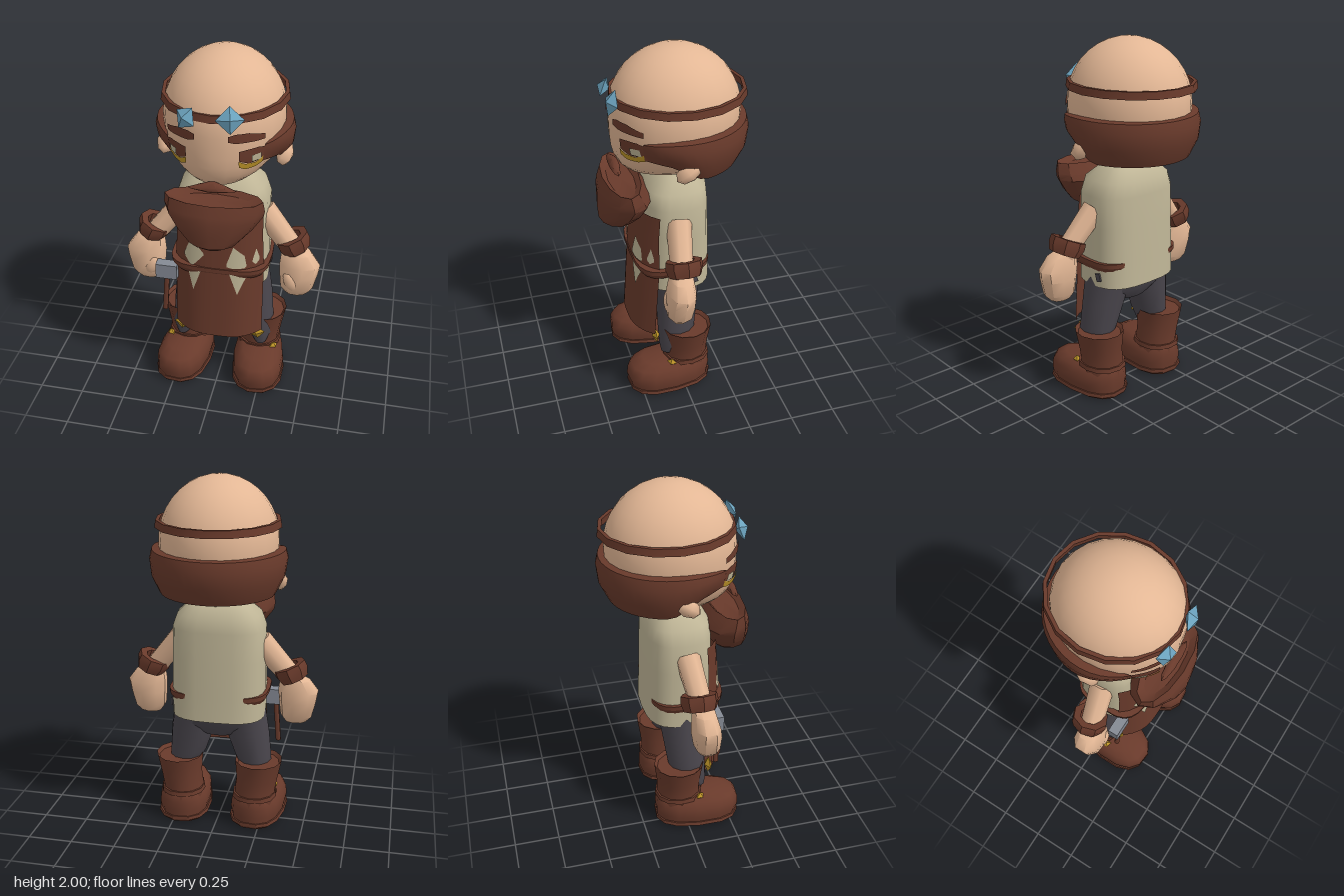
import * as THREE from 'three';
import { toCreasedNormals } from 'three/addons/utils/BufferGeometryUtils.js';

const mat = (name, color, side = THREE.FrontSide) => {
  const m = new THREE.MeshStandardMaterial({ color, side });
  m.name = name;
  return m;
};

// Geometry from a grid of points; wrap closes each row
function grid(rows, wrap = false, caps = false, crease = 0.8) {
  const n = rows[0].length, idx = [], pts = rows.flat();
  for (let i = 0; i < rows.length - 1; i++)
    for (let j = 0; j < (wrap ? n : n - 1); j++) {
      const a = i * n + j, b = i * n + (j + 1) % n;
      idx.push(a, a + n, b, b, a + n, b + n);
    }
  if (caps) {
    for (const r of [0, rows.length - 1]) {
      const c = pts.length, mid = [0, 0, 0];
      rows[r].forEach(p => p.forEach((v, k) => { mid[k] += v / n; }));
      pts.push(mid);
      for (let j = 0; j < n; j++) {
        const a = r * n + j, b = r * n + (j + 1) % n;
        if (r === 0) idx.push(c, a, b); else idx.push(c, b, a);
      }
    }
  }
  const g = new THREE.BufferGeometry();
  g.setAttribute('position', new THREE.Float32BufferAttribute(pts.flat(), 3));
  g.setIndex(idx);
  g.computeVertexNormals();
  return toCreasedNormals(g, crease);
}

// Stack of superellipse rings, each [y, rx, rz, cx, cz]
function loft(sections, n = 16, power = 2, caps = true, crease = 0.8) {
  const curve = v => Math.sign(v) * Math.pow(Math.abs(v), 2 / power);
  return grid(sections.map(([y, rx, rz, cx = 0, cz = 0]) =>
    Array.from({ length: n }, (_, j) => {
      const a = j / n * Math.PI * 2;
      return [cx + rx * curve(Math.cos(a)), y, cz + rz * curve(Math.sin(a))];
    })), true, caps, crease);
}

// Thin patch between a lower and upper outline, laid on z = surface(x, y).
// Columns are [x, low, high], ordered left to right.
function patch(cols, surface, off = 0.006) {
  const fine = [];
  for (let i = 0; i < cols.length - 1; i++)
    for (let k = 0; k < 3; k++)
      fine.push(cols[i].map((v, c) => v + (cols[i + 1][c] - v) * k / 3));
  fine.push(cols[cols.length - 1]);
  return grid([1, 0.5, 0].map(t => fine.map(([x, lo, hi]) => {
    const y = lo + (hi - lo) * t;
    return [x, y, surface(x, y) + off];
  })));
}
const flip = (cols, s) => s > 0 ? cols : cols.map(([x, a, b]) => [-x, a, b]).reverse();

// Head: round skull with a fuller jaw at the front
const H = { y: 1.655, z: -0.022, rx: 0.322, ry: 0.345, rz: 0.35 };
function headRing(y, front) {
  const t = Math.min(1, Math.abs(y - H.y) / H.ry);
  const k = p => Math.pow(1 - Math.pow(t, p), 1 / p);
  return y > H.y ? [H.rx * k(2), H.rz * k(2)] : [H.rx * k(2.3), H.rz * k(front ? 3.8 : 2.3)];
}
const face = (x, y) => {
  const [rx, rz] = headRing(y, true);
  return H.z + rz * Math.sqrt(Math.max(0, 1 - (x / rx) ** 2));
};
function headGeometry() {
  const g = new THREE.SphereGeometry(1, 24, 18), p = g.attributes.position;
  for (let i = 0; i < p.count; i++) {
    const h = Math.hypot(p.getX(i), p.getZ(i)), y = H.y + p.getY(i) * H.ry;
    const [rx, rz] = h > 0.001 ? headRing(y, p.getZ(i) > 0) : [0, 0];
    p.setXYZ(i, p.getX(i) / (h || 1) * rx, y, H.z + p.getZ(i) / (h || 1) * rz);
  }
  g.computeVertexNormals();
  return toCreasedNormals(g, 1);
}

export function createModel() {
  const model = new THREE.Group();
  const D = THREE.DoubleSide;
  const skin = mat('skin', 0xe3b795), brown = mat('brown leather', 0x693a2b, D);
  const linen = mat('linen', 0xc0b697, D), cloth = mat('dark cloth', 0x4a464d);
  const blue = mat('blue gem', 0x6ca3be), gold = mat('gold', 0xbd9428, D), steel = mat('steel', 0x858a94);

  const add = (name, geo, material, pos = [0, 0, 0], rot = [0, 0, 0], scale = [1, 1, 1], parent = model) => {
    const m = new THREE.Mesh(geo, material);
    m.name = name;
    m.position.set(...pos);
    m.rotation.set(...rot);
    m.scale.set(...scale);
    parent.add(m);
    return m;
  };
  const limb = (name, a, b, ra, rb, material, sides = 8) => {
    const A = new THREE.Vector3(...a), B = new THREE.Vector3(...b), dir = B.clone().sub(A);
    const m = add(name, new THREE.CylinderGeometry(rb, ra, dir.length(), sides), material);
    m.position.copy(A.add(B).multiplyScalar(0.5));
    m.quaternion.setFromUnitVectors(new THREE.Vector3(0, 1, 0), dir.normalize());
  };

  add('head', headGeometry(), skin);

  // Hair around the back of the head, its ends hugging the face as sideburns
  const hairRows = [[0.3, 1], [0.372, 0.96], [0.385, 0.75], [0.375, 0.4], [0.33, 0.04], [0.26, 0], [0.18, 0.02]].map(([r, t]) =>
    Array.from({ length: 33 }, (_, j) => {
      const u = j / 16 - 1, a = u * (Math.PI / 2 + 0.75);
      const end = Math.max(0, (Math.abs(u) - 0.6) / 0.4);
      const low = 1.37 + 0.06 * Math.min(1, end * 2) + 0.06 * end, high = 1.625 - 0.035 * end * end;
      const y = low + (high - low) * t;
      const [rx, rz] = headRing(y, true);
      const hug = 1 / Math.hypot(Math.sin(a) / rx, Math.cos(a) / rz) + 0.008;
      const rad = r + (hug - r) * end * end;
      return [Math.sin(a) * rad * (0.965 + 0.035 * end), y, -0.03 + 0.008 * end - Math.cos(a) * rad];
    }));
  add('hair', grid(hairRows), brown);

  // Circlet with two gems
  add('circlet', loft([[1.735, 0.318, 0.345, 0, -0.04], [1.735, 0.338, 0.365, 0, -0.04],
    [1.775, 0.332, 0.36, 0, -0.04], [1.775, 0.312, 0.34, 0, -0.04],
    [1.735, 0.318, 0.345, 0, -0.04]], 16, 2, false, 0.5), brown);
  const gem = toCreasedNormals(new THREE.OctahedronGeometry(1), 0.2);
  add('leftGem', gem, blue, [0.095, 1.765, 0.328], [-0.35, 0.2, 0.1], [0.072, 0.07, 0.034]);
  add('rightGem', gem, blue, [-0.128, 1.755, 0.322], [-0.35, -0.35, -0.6], [0.064, 0.064, 0.034]);

  // Moustache
  add('moustache', loft([[1.35, 0.045, 0.012, 0, 0.318], [1.362, 0.13, 0.026, 0, 0.312],
    [1.378, 0.085, 0.026, 0, 0.31], [1.396, 0.025, 0.014, 0, 0.305]], 10), brown);

  for (const s of [1, -1]) {
    const side = s > 0 ? 'left' : 'right';
    // Face details
    add(side + 'Eyebrow', patch(flip([[0.085, 1.642, 1.672], [0.12, 1.632, 1.682], [0.18, 1.63, 1.68], [0.25, 1.625, 1.655]], s), face, 0.008), brown);
    add(side + 'EyeLid', patch(flip([[0.135, 1.53, 1.585], [0.18, 1.505, 1.59], [0.225, 1.51, 1.59], [0.25, 1.52, 1.58]], s), face, 0.008), brown);
    add(side + 'EyeWhite', patch(flip([[0.195, 1.515, 1.555], [0.235, 1.515, 1.555]], s), face, 0.016), linen);
    add(side + 'Iris', patch(flip([[0.135, 1.495, 1.53], [0.165, 1.475, 1.51], [0.21, 1.475, 1.505], [0.25, 1.495, 1.53]], s), face, 0.013), gold);
    add(side + 'Ear', new THREE.OctahedronGeometry(1, 1), skin, [s * 0.322, 1.44, -0.01], [0.6, 0, s * 0.3], [0.05, 0.05, 0.078]);

    // Arm, cuff and fist
    limb(side + 'Arm', [s * 0.22, 1.09, 0.015], [s * 0.41, 0.86, 0.05], 0.07, 0.06, skin);
    add(side + 'Cuff', loft([[-0.035, 0.05, 0.055], [-0.042, 0.08, 0.09], [0.005, 0.097, 0.104], [0.042, 0.095, 0.1],
      [0.042, 0.055, 0.06], [-0.035, 0.05, 0.055]], 8, 2, false, 0.5), brown, [s * 0.4, 0.91, 0.035], [0, 0, s * 0.42]);
    add(side + 'Hand', loft([[0.603, 0.06, 0.045, s * 0.425, 0.07], [0.64, 0.092, 0.07, s * 0.43, 0.07],
      [0.73, 0.108, 0.08, s * 0.437, 0.065], [0.79, 0.115, 0.075, s * 0.44, 0.06],
      [0.86, 0.085, 0.062, s * 0.418, 0.055], [0.885, 0.045, 0.05, s * 0.405, 0.05]], 9, 2.3), skin);
    add(side + 'Thumb', new THREE.IcosahedronGeometry(1, 1), skin, [s * 0.4, 0.7, 0.12], [0, 0, s * 0.4], [0.04, 0.065, 0.03]);

    // Trouser leg with a gold knee stud
    add(side + 'Leg', loft([[0.22, 0.035, 0.05, s * 0.235, 0.07], [0.28, 0.075, 0.1, s * 0.225, 0.03],
      [0.4, 0.105, 0.11, s * 0.192, 0.02], [0.55, 0.125, 0.118, s * 0.16, 0.008],
      [0.7, 0.13, 0.135, s * 0.133, 0.002]], 12), cloth);
    add(side + 'KneeStud', new THREE.OctahedronGeometry(1), gold, [s * 0.218, 0.328, 0.148], [0.1, 0, s * 0.2], [0.052, 0.048, 0.022]);

    // Boot
    const boot = new THREE.Group();
    boot.name = side + 'Boot';
    boot.position.set(s * 0.215, 0, 0);
    boot.rotation.y = s * 0.1;
    model.add(boot);
    const bootPart = (name, geo) => add(name, geo, brown, undefined, undefined, undefined, boot);
    bootPart('bootSole', loft([[0, 0.135, 0.235, 0, 0.075], [0.015, 0.155, 0.245, 0, 0.075], [0.035, 0.15, 0.245, 0, 0.075]], 14, 2.6, true, 0.4));
    bootPart('bootFoot', loft([[0.02, 0.14, 0.238, 0, 0.075], [0.07, 0.15, 0.245, 0, 0.078], [0.12, 0.145, 0.242, 0, 0.077],
      [0.155, 0.125, 0.23, 0, 0.07], [0.182, 0.095, 0.19, 0, 0.045]], 14, 2.5));
    bootPart('bootShaft', loft([[0.12, 0.122, 0.13, 0, -0.03], [0.2, 0.118, 0.125, 0, -0.03], [0.28, 0.12, 0.127, s * 0.012, -0.03],
      [0.39, 0.135, 0.142, s * 0.02, -0.03], [0.37, 0.12, 0.125, s * 0.02, -0.03]], 12));
    bootPart('bootStrap', loft([[0.165, 0.128, 0.138, 0, -0.03], [0.19, 0.124, 0.134, 0, -0.03]], 12, 2.2));
    add('bootBuckle', new THREE.OctahedronGeometry(1), gold, [s * 0.088, 0.182, 0.085], [0, s * 0.8, 0], [0.03, 0.024, 0.022], boot);
  }

  // Shirt and hips
  add('shirt', loft([[0.66, 0.262, 0.194], [0.8, 0.262, 0.19], [1.0, 0.258, 0.185], [1.17, 0.258, 0.178],
    [1.25, 0.23, 0.17, 0, -0.003], [1.31, 0.17, 0.11, 0, -0.015], [1.335, 0.14, 0.08, 0, -0.015]], 24, 2.9), linen);
  add('neck', new THREE.CylinderGeometry(0.1, 0.11, 0.12, 12), skin, [0, 1.33, -0.02]);
  add('hips', loft([[0.54, 0.1, 0.09], [0.61, 0.235, 0.135], [0.72, 0.25, 0.155]], 16, 2.4), cloth);
  add('shirtStud', new THREE.BoxGeometry(0.008, 0.045, 0.035), cloth, [0.263, 0.72, -0.065], [0.3, 0, 0]);

  // Curved apron with worn holes showing linen
  const apronZ = (x, y) => 0.215 + (1.13 - y) * 0.066 - 0.1 * Math.abs(x / 0.245) ** 3;
  add('apron', grid([0.36, 0.6, 0.8, 1.0, 1.13].reverse().map(y =>
    Array.from({ length: 13 }, (_, j) => {
      const x = (j / 6 - 1) * (y < 0.9 ? 0.25 : 0.24);
      return [x, y, apronZ(x, y)];
    }))), brown);
  const tears = [
    [[-0.185, 0.855, 0.875], [-0.14, 0.8, 0.98], [-0.07, 0.885, 0.9]],
    [[-0.165, 0.785, 0.8], [-0.13, 0.65, 0.8], [-0.085, 0.785, 0.8]],
    [[0.06, 0.83, 0.85], [0.095, 0.82, 0.955], [0.155, 0.82, 0.9], [0.165, 0.83, 0.84]],
    [[0.075, 0.785, 0.8], [0.12, 0.65, 0.8], [0.175, 0.785, 0.8]],
    [[0.195, 0.85, 0.86], [0.212, 0.83, 0.93], [0.228, 0.85, 0.87]],
  ];
  tears.forEach(t => add('apronTear', patch(t, apronZ, 0.004), linen));

  // Belt, sinking into the shirt at the middle of the back
  add('belt', loft([[0.755, 0.262, 0.197, 0, 0.03], [0.785, 0.28, 0.212, 0, 0.03],
    [0.81, 0.282, 0.212, 0, 0.03], [0.81, 0.25, 0.18, 0, 0.03]], 24, 3.6, false, 0.4), brown);

  // Bunched hood hanging on the chest
  add('hood', loft([[1.005, 0.06, 0.05, 0, 0.3], [1.05, 0.135, 0.1, 0, 0.305], [1.12, 0.205, 0.13, 0, 0.28],
    [1.2, 0.262, 0.145, 0, 0.262], [1.235, 0.268, 0.132, 0, 0.267], [1.295, 0.26, 0.098, 0, 0.278], [1.27, 0.2, 0.07, 0, 0.275]], 12, 2, true, 0.6), brown);

  // Hammer tucked at the right hip
  add('hammerHead', new THREE.BoxGeometry(0.122, 0.09, 0.06), steel, [-0.298, 0.71, 0.16]);
  limb('hammerHandle', [-0.318, 0.43, 0.16], [-0.3, 0.67, 0.16], 0.016, 0.016, brown, 6);

  return model;
}
